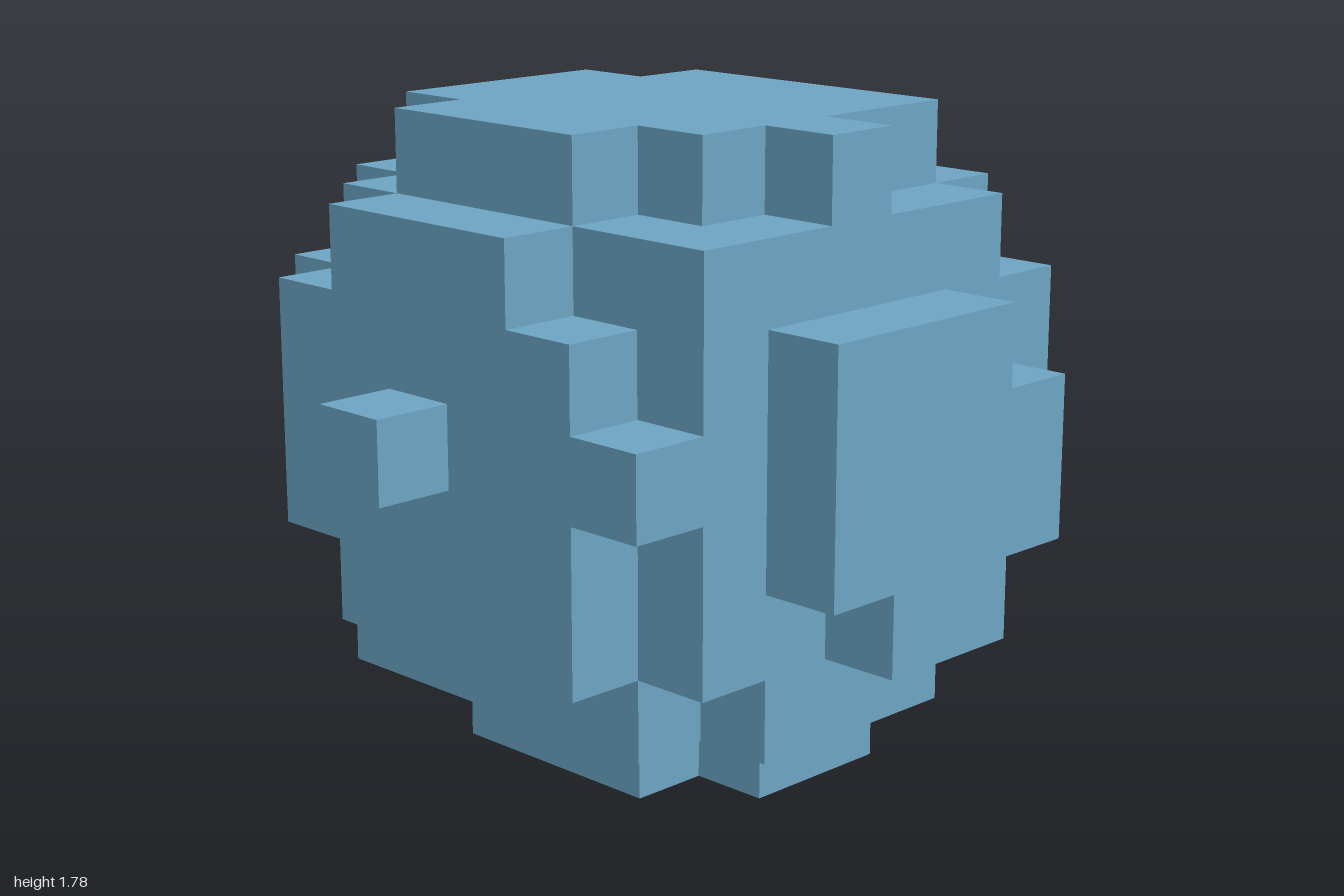
import * as THREE from 'three';

const U = 2 / 9; // block size

// Each layer, bottom to top: first depth row (counted from the back), then
// [first, end] block columns for each row towards the front.
const LAYERS = [
  { from: 2, rows: [[3, 5], [2, 6], [2, 6], [2, 5]] },
  { from: 1, rows: [[2, 5], [1, 6], [1, 7], [1, 7], [1, 7], [1, 6]] },
  { from: 0, rows: [[3, 4], [1, 6], [0, 7], [0, 8], [0, 8], [0, 7], [1, 7], [2, 6]] },
  { from: 0, rows: [[2, 6], [1, 7], [0, 8], [0, 8], [0, 8], [0, 8], [0, 7], [1, 6]] },
  { from: 0, rows: [[2, 6], [1, 7], [0, 8], [0, 8], [0, 8], [0, 8], [0, 7], [1, 7], [3, 4]] },
  { from: 0, rows: [[2, 5], [1, 7], [0, 7], [0, 8], [0, 8], [0, 8], [0, 7], [1, 6]] },
  { from: 1, rows: [[2, 6], [1, 7], [0, 7], [0, 7], [0, 7], [1, 7], [2, 5]] },
  { from: 2, rows: [[2, 6], [1, 6], [1, 7], [1, 6], [2, 5]] },
];

// Stepped outline of a layer, extruded one block upwards
function layerGeometry({ from, rows }) {
  const right = [], left = [];
  rows.forEach(([a, b], r) => {
    const k = from + r;
    right.push([b, k], [b, k + 1]);
    left.push([a, k], [a, k + 1]);
  });
  const ring = [...right, ...left.reverse()];
  const points = ring
    .filter(([x, k], n) => {
      const [px, pk] = ring[(n + ring.length - 1) % ring.length];
      return x !== px || k !== pk;
    })
    .map(([x, k]) => new THREE.Vector2((x - 4) * U, 1 - k * U));
  const geometry = new THREE.ExtrudeGeometry(new THREE.Shape(points), { depth: U, bevelEnabled: false });
  return geometry.rotateX(-Math.PI / 2);
}

export function createModel() {
  const model = new THREE.Group();
  model.name = 'blockBall';
  const blue = new THREE.MeshStandardMaterial({ color: 0x6ca4c2 });
  blue.name = 'blue';

  LAYERS.forEach((layer, j) => {
    const mesh = new THREE.Mesh(layerGeometry(layer), blue);
    mesh.name = `layer${j + 1}`;
    mesh.position.y = j * U;
    model.add(mesh);
  });
  return model;
}
